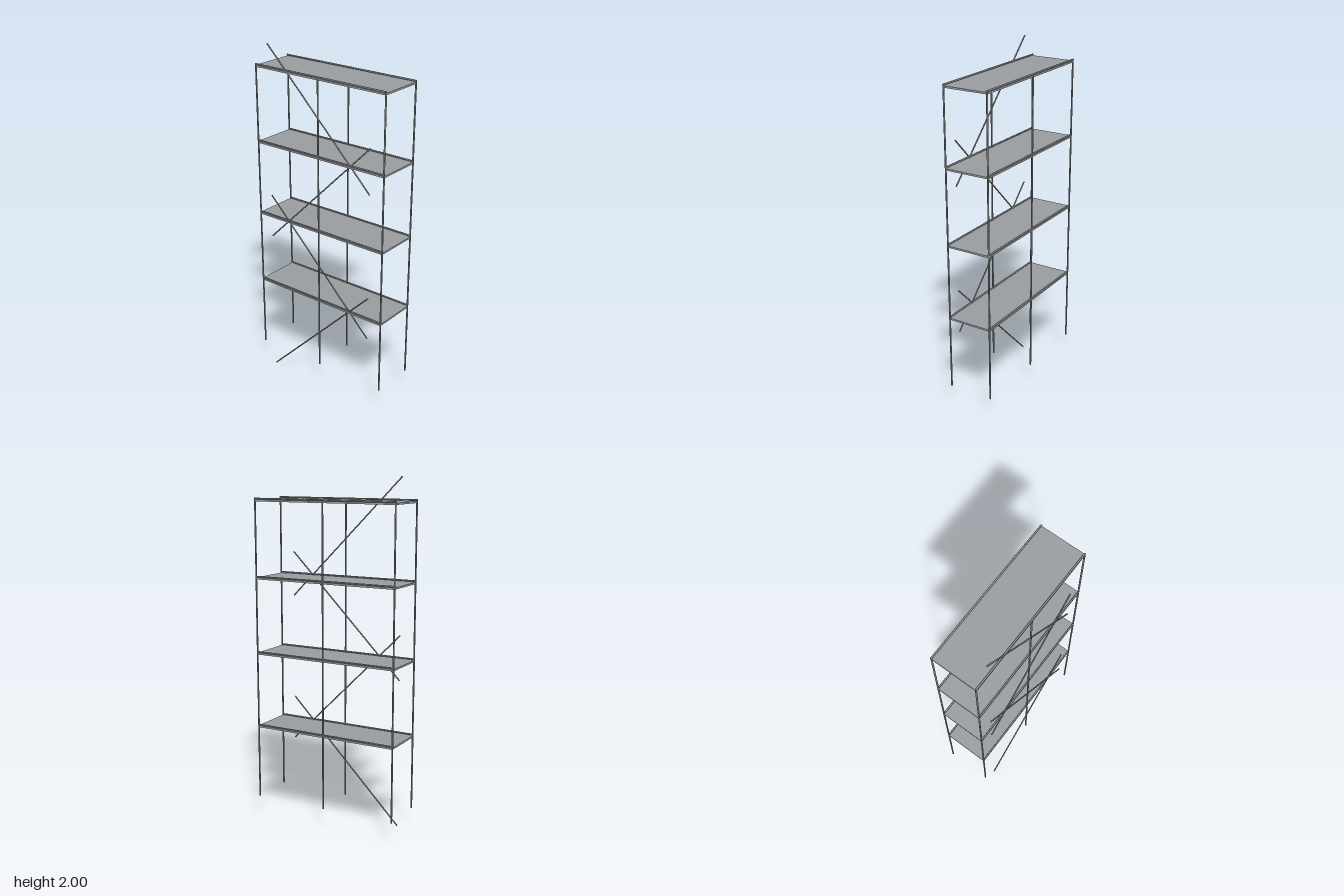
import * as THREE from 'three';

const steel = new THREE.MeshStandardMaterial({ name: 'steel grey', color: 0x8a8a8a });
const plank = new THREE.MeshStandardMaterial({ name: 'deck grey', color: 0x989c9f });

const POLE_X = 0.433;
const POLE_Z = 0.1305;
const BASE = 0.131;
const STEP = 0.4345;
const TUBE_R = 0.0048;

// Round tube between two points
function tube(name, from, to, radius) {
  const a = new THREE.Vector3(...from);
  const b = new THREE.Vector3(...to);
  const dir = b.clone().sub(a);
  const mesh = new THREE.Mesh(new THREE.CylinderGeometry(radius, radius, dir.length(), 12), steel);
  mesh.name = name;
  mesh.position.copy(a).add(b).multiplyScalar(0.5);
  mesh.quaternion.setFromUnitVectors(new THREE.Vector3(0, 1, 0), dir.normalize());
  return mesh;
}

export function createModel() {
  const model = new THREE.Group();
  model.name = 'scaffold';

  // Six upright poles in two rows
  for (const z of [-POLE_Z, POLE_Z]) {
    for (const x of [-POLE_X, 0, POLE_X]) {
      model.add(tube('upright', [x, BASE, z], [x, BASE + 4 * STEP, z], TUBE_R));
    }
  }

  // Four decks, each with a long rail lying along both edges
  for (let i = 1; i <= 4; i++) {
    const y = BASE + i * STEP;
    const deck = new THREE.Mesh(new THREE.BoxGeometry(0.87, 0.01, 0.267), plank);
    deck.name = 'deck';
    deck.position.y = y - 0.006;
    model.add(deck);
    for (const z of [-POLE_Z, POLE_Z]) {
      model.add(tube('rail', [-0.436, y + 0.0045, z], [0.436, y + 0.0045, z], TUBE_R));
    }
  }

  // Zigzag of diagonal braces across the front
  for (let i = 0; i < 4; i++) {
    const y = BASE + (i + 0.5) * STEP;
    const rise = i % 2 === 0 ? 0.345 : -0.345;
    model.add(tube('brace', [-0.345, y - rise, POLE_Z], [0.345, y + rise, POLE_Z], 0.004));
  }
  return model;
}
